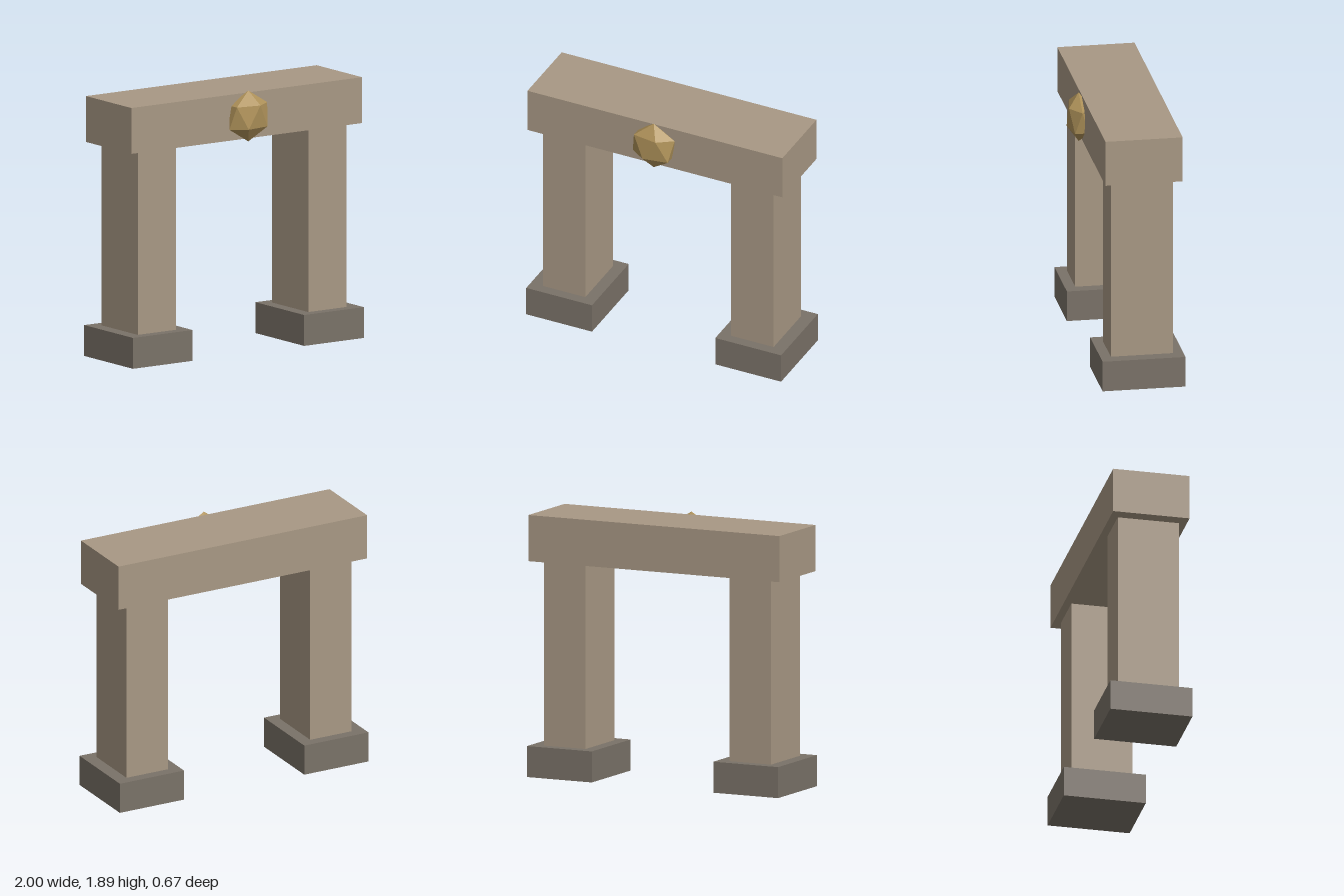
import * as THREE from 'three';
import { ConvexGeometry } from 'three/addons/geometries/ConvexGeometry.js';

const stone = new THREE.MeshStandardMaterial({ name: 'sandstone', color: 0xa89884 });
const darkStone = new THREE.MeshStandardMaterial({ name: 'dark stone', color: 0x7a7268 });
const gold = new THREE.MeshStandardMaterial({ name: 'old gold', color: 0xb0935a });

const GATE_Z = -0.038; // middle plane of the gate

// Box standing on a given height
function block(name, material, w, h, d, x, bottom) {
  const mesh = new THREE.Mesh(new THREE.BoxGeometry(w, h, d), material);
  mesh.name = name;
  mesh.position.set(x, bottom + h / 2, GATE_Z);
  return mesh;
}

// Twenty-sided gem standing on a point: two poles and two staggered rings of five
function gemGeometry(r) {
  const ringY = r / Math.sqrt(5);
  const ringR = 2 * ringY;
  const points = [new THREE.Vector3(0, r, 0), new THREE.Vector3(0, -r, 0)];
  for (let i = 0; i < 5; i++) {
    const a = (i * Math.PI * 2) / 5;
    const x = Math.cos(a) * ringR;
    const z = Math.sin(a) * ringR;
    points.push(new THREE.Vector3(x, ringY, z), new THREE.Vector3(-x, -ringY, -z));
  }
  return new ConvexGeometry(points);
}

export function createModel() {
  const gate = new THREE.Group();
  gate.name = 'stoneGate';

  // Pillars on their plinths
  for (const [side, s] of [['left', 1], ['right', -1]]) {
    gate.add(block(side + 'Plinth', darkStone, 0.516, 0.222, 0.594, s * 0.742, 0));
    gate.add(block(side + 'Pillar', stone, 0.333, 1.32, 0.444, s * 0.739, 0.222));
  }

  // Lintel across the top
  gate.add(block('lintel', stone, 2, 0.33, 0.553, 0, 1.542));

  // Flattened gem set into the front of the lintel
  const gem = new THREE.Mesh(gemGeometry(0.183), gold);
  gem.name = 'keystoneGem';
  gem.scale.z = 0.5;
  gem.position.set(0, 1.707, 0.258);
  gate.add(gem);

  return gate;
}
